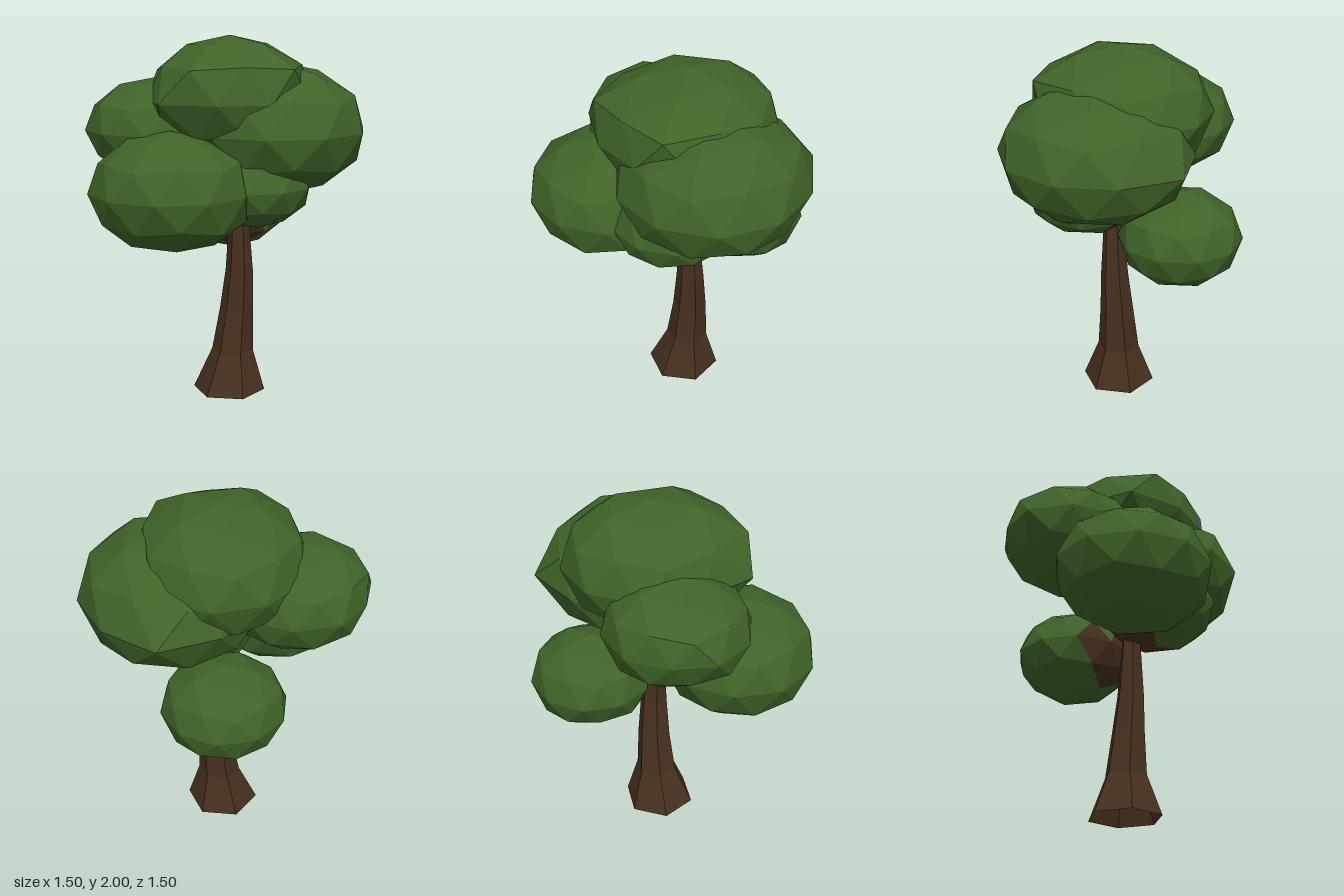
import * as THREE from 'three';

const leafMaterial = new THREE.MeshStandardMaterial({ color: 0x3f6428, flatShading: true });
const barkMaterial = new THREE.MeshStandardMaterial({
  color: 0x46301f, flatShading: true, side: THREE.DoubleSide,
});

// Faceted foliage clump with a pole pointing up. Each bump [x, y, z, amount] pushes the
// corners in that direction outward (or inward). Faces low against the trunk are bark-coloured.
function clump(name, center, radii, bumps) {
  const geo = new THREE.IcosahedronGeometry(1, 1);
  geo.rotateZ(Math.atan(2 / (1 + Math.sqrt(5))));
  const p = geo.attributes.position;
  const v = new THREE.Vector3();
  for (let i = 0; i < p.count; i++) {
    v.fromBufferAttribute(p, i);
    let scale = 1;
    for (const [x, y, z, amount] of bumps) {
      const closeness = Math.max(0, v.dot(new THREE.Vector3(x, y, z).normalize()));
      scale += amount * closeness ** 10;
    }
    v.multiplyScalar(scale);
    p.setXYZ(i, v.x, v.y, v.z);
  }
  geo.scale(...radii);
  geo.translate(...center);
  geo.computeVertexNormals();
  for (let i = 0; i < p.count; i += 3) {
    const mid = (axis) => (p[axis](i) + p[axis](i + 1) + p[axis](i + 2)) / 3;
    const nearTrunk = Math.hypot(mid('getX') - 0.07, mid('getZ') + 0.05) < 0.22;
    geo.addGroup(i, 3, nearTrunk && mid('getY') < 1.07 ? 1 : 0);
  }
  const mesh = new THREE.Mesh(geo, [leafMaterial, barkMaterial]);
  mesh.name = name;
  return mesh;
}

// Leaning six-sided open trunk lofted through rings of [x, y, z, radius]
function trunk(rings) {
  const geo = new THREE.CylinderGeometry(1, 1, 1, 6, rings.length - 1, true);
  const p = geo.attributes.position;
  for (let i = 0; i < p.count; i++) {
    const level = Math.round((p.getY(i) + 0.5) * (rings.length - 1));
    const [x, y, z, r] = rings[level];
    // swap the axes so that two corners lie along x
    p.setXYZ(i, x + p.getZ(i) * r, y, z - p.getX(i) * r);
  }
  geo.computeVertexNormals();
  const mesh = new THREE.Mesh(geo, barkMaterial);
  mesh.name = 'trunk';
  return mesh;
}

export function createModel() {
  const tree = new THREE.Group();
  tree.name = 'tree';

  tree.add(trunk([
    [0.022, 0, -0.037, 0.203],
    [0.04, 0.23, -0.051, 0.117],
    [0.062, 0.47, -0.058, 0.095],
    [0.077, 0.7, -0.054, 0.077],
    [0.075, 1.0, -0.045, 0.055],
    [0.07, 1.3, -0.04, 0.04],
  ]));

  const clumps = [
    ['crownClump', [0.02, 1.66, -0.07], [0.45, 0.34, 0.48],
      [[-0.28, 0.45, 0.85, 0.12], [0.72, 0.45, 0.53, 0.15], [-0.59, 0, 0.81, 0.14]]],
    ['leftClump', [0.27, 1.49, -0.09], [0.5, 0.36, 0.51],
      [[0, 0, -1, 0.12], [0.4, 0.9, 0, 0.05]]],
    ['rightClump', [-0.37, 1.49, -0.03], [0.41, 0.285, 0.385],
      [[-0.95, 0, -0.31, -0.07], [-0.7, -0.6, 0, -0.08]]],
    ['frontClump', [-0.24, 1.205, 0.33], [0.43, 0.318, 0.415],
      [[0.75, -0.6, 0.2, 0.07]]],
    ['lowerLeftClump', [0.16, 1.21, 0.08], [0.325, 0.235, 0.33], []],
    ['backClump', [-0.03, 1.01, -0.42], [0.335, 0.26, 0.33],
      [[-0.7, -0.7, 0, -0.08]]],
  ];
  clumps.forEach((c) => tree.add(clump(...c)));

  return tree;
}
